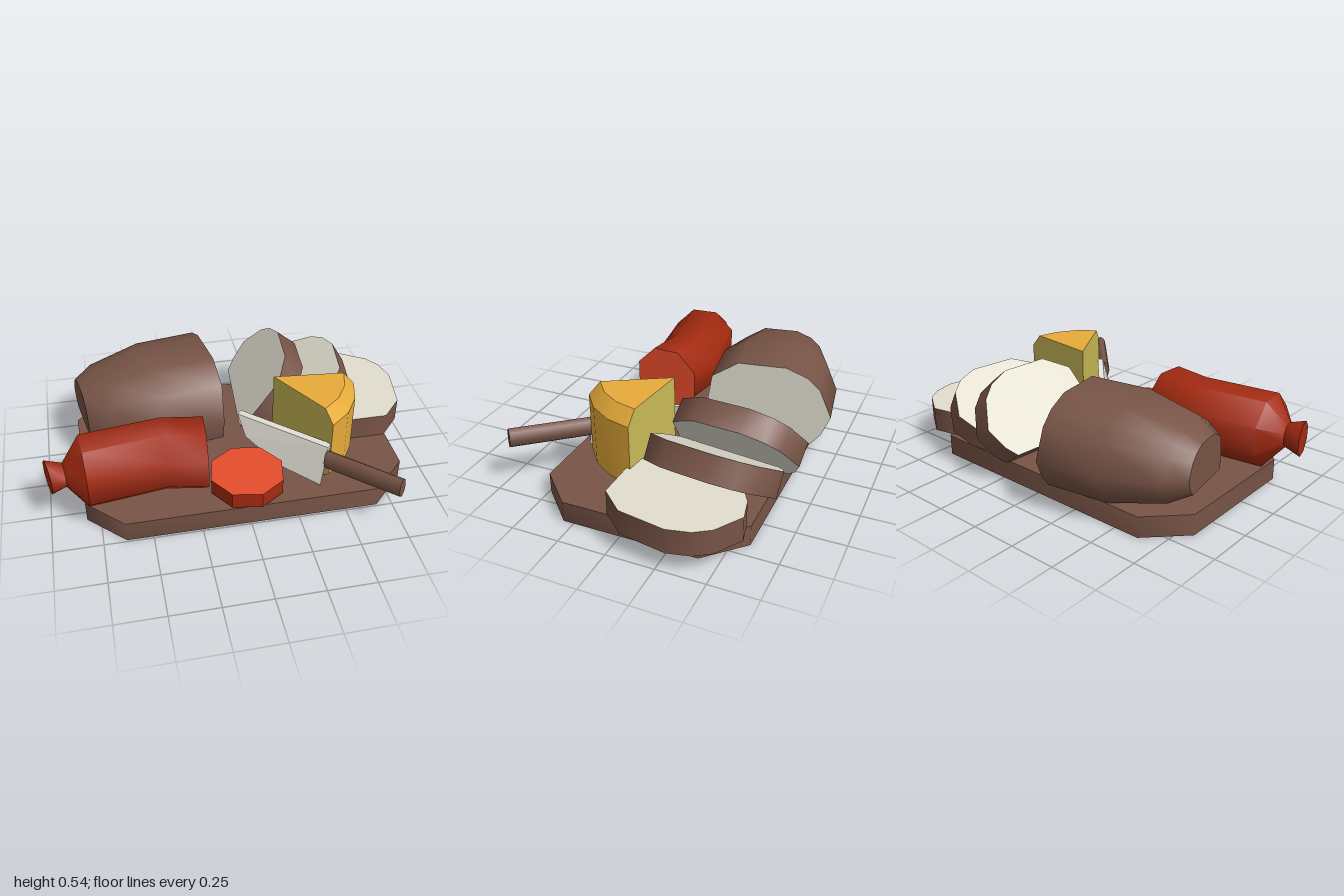
import * as THREE from 'three';
import { toCreasedNormals } from 'three/addons/utils/BufferGeometryUtils.js';
import { ConvexGeometry } from 'three/addons/geometries/ConvexGeometry.js';

const mat = (name, color, side = THREE.FrontSide) => {
  const m = new THREE.MeshStandardMaterial({ color, side });
  m.name = name;
  return m;
};

// Skins rings of [x, y, z] running towards +x; groups: 0 side, 1 left cap, 2 right cap
function loft(rings, crease = 0.9) {
  const n = rings[0].length, last = (rings.length - 1) * n, idx = [];
  for (let i = 0; i < rings.length - 1; i++)
    for (let j = 0; j < n; j++) {
      const k = (j + 1) % n, a = i * n + j, b = i * n + k, d = a + n, c = b + n;
      idx.push(a, d, b, b, d, c);
    }
  const sideCount = idx.length, capCount = (n - 2) * 3;
  for (let j = 1; j < n - 1; j++) idx.push(0, j, j + 1);
  for (let j = 1; j < n - 1; j++) idx.push(last, last + j + 1, last + j);
  const g = new THREE.BufferGeometry();
  g.setAttribute('position', new THREE.Float32BufferAttribute(rings.flat(2), 3));
  g.setIndex(idx);
  g.addGroup(0, sideCount, 0);
  g.addGroup(sideCount, capCount, 1);
  g.addGroup(sideCount + capCount, capCount, 2);
  return toCreasedNormals(g, crease);
}

// Octagonal ring with flat top, leaning along x by tilt
function octagon(x, y, z, r, tilt = 0) {
  return Array.from({ length: 8 }, (_, i) => {
    const t = (i + 0.5) * Math.PI / 4, dz = r * Math.cos(t);
    return [x + dz * tilt, y + r * Math.sin(t), z + dz];
  });
}

// Bread cross-section as [z, y], lopsided dome on a flat base
const BREAD = [[0.31, 0], [0.335, 0.12], [0.3, 0.34], [0.16, 0.43], [-0.09, 0.43],
  [-0.2, 0.385], [-0.27, 0.32], [-0.335, 0.17], [-0.29, 0.06], [-0.24, 0]];
const breadRing = (x, k = 1) => BREAD.map(([z, y]) => [x, 0.2 + (y - 0.2) * k, z * k]);

export function createModel() {
  const model = new THREE.Group();
  const brown = mat('brown', 0x785447);
  const crumb = mat('crumb', 0xe2dfd0);
  const casing = mat('sausageCasing', 0xa32a10);
  const meat = mat('sausageMeat', 0xf3512f);
  const rind = mat('cheeseRind', 0xe8ac3a, THREE.DoubleSide);
  const cheeseCut = mat('cheeseCut', 0xcbbc58, THREE.DoubleSide);
  const steel = mat('steel', 0xe4e2d8);
  const add = (name, geo, material, parent = model) => {
    const m = new THREE.Mesh(geo, material);
    m.name = name;
    parent.add(m);
    return m;
  };
  const TOP = 0.11;

  // Board with clipped corners
  const [l, r, b, f, c] = [-0.82, 0.855, -0.585, 0.49, 0.185];
  const outline = new THREE.Shape([[l + c, -f], [r - c, -f], [r, -f + c], [r, -b - c],
    [r - c, -b], [l + c, -b], [l, -b - c], [l, -f + c]].map(p => new THREE.Vector2(...p)));
  const boardGeo = new THREE.ExtrudeGeometry(outline, { depth: TOP, bevelEnabled: false });
  boardGeo.rotateX(-Math.PI / 2);
  add('board', toCreasedNormals(boardGeo, 0.9), brown);

  // Half loaf with rounded end
  const loaf = add('loaf', loft([breadRing(-0.71, 0.52), breadRing(-0.61, 0.75),
    breadRing(-0.33), breadRing(0)]), [brown, brown, crumb]);
  loaf.position.set(-0.085, TOP, -0.395);
  loaf.rotation.y = 0.163;

  // Three slices falling flat one after the other: x, z, lean above board, yaw
  const sliceGeo = loft([breadRing(-0.13), breadRing(0)]);
  [[0.18, -0.37, 0.9, -0.08], [0.355, -0.345, 0.54, -0.13], [0.563, -0.286, 0, -0.165]]
    .forEach(([x, z, lean, yaw], i) => {
      const s = add('breadSlice' + (i + 1), sliceGeo, [brown, crumb, crumb]);
      s.position.set(x, TOP, z);
      s.rotation.set(0, yaw, lean - Math.PI / 2, 'YXZ');
    });

  // Bent sausage with tied end, and one slice cut from it
  add('sausage', loft([octagon(-0.98, 0.29, 0.275, 0.09, -0.24 * -1),
    octagon(-0.9, 0.29, 0.27, 0.063, 0.15), octagon(-0.805, 0.29, 0.262, 0.19, 0.08),
    octagon(-0.4, 0.29, 0.205, 0.19), octagon(-0.19, 0.29, 0.24, 0.19, -0.057)]),
  [casing, casing, meat]);
  const disc = add('sausageSlice', new THREE.CylinderGeometry(0.197, 0.197, 0.085, 8).toNonIndexed(),
    [casing, meat, meat]);
  disc.geometry.computeVertexNormals();
  disc.position.set(0.01, 0.165, 0.325);
  disc.rotation.y = 0.2;

  // Cheese wedge: turned rind plus two cut faces
  const cheese = new THREE.Group();
  cheese.name = 'cheese';
  cheese.position.set(0.22, 0, 0);
  model.add(cheese);
  const profile = [[0, TOP], [0.38, TOP], [0.43, 0.15], [0.43, 0.47], [0.37, 0.54], [0, 0.54]]
    .map(p => new THREE.Vector2(...p));
  const from = 0.1, to = 1.05;
  add('cheeseRind', toCreasedNormals(
    new THREE.LatheGeometry(profile, 3, Math.PI / 2 - to, to - from), 0.6), rind, cheese);
  for (const angle of [from, to])
    add('cheeseCutFace', new THREE.ShapeGeometry(new THREE.Shape(profile)), cheeseCut, cheese)
      .rotation.y = -angle;

  // Knife leaning on the cheese: thick spine, thin cutting edge
  const knife = new THREE.Group();
  knife.name = 'knife';
  model.add(knife);
  const across = new THREE.Vector3(0.011, 0.003, -0.011);
  const bladePoints = [[0.06, 0.21, 0.055], [0.2, 0.14, 0.24], [0.375, 0.13, 0.425]]
    .map(p => new THREE.Vector3(...p));
  for (const p of [[0.045, 0.31, -0.035], [0.425, 0.343, 0.375]]) {
    const v = new THREE.Vector3(...p);
    bladePoints.push(v.clone().add(across), v.clone().sub(across));
  }
  add('blade', new ConvexGeometry(bladePoints), steel, knife);

  const start = new THREE.Vector3(0.41, 0.27, 0.39), end = new THREE.Vector3(0.7, 0.287, 0.69);
  const handleGeo = new THREE.CylinderGeometry(1, 1, start.distanceTo(end), 8);
  handleGeo.scale(0.034, 1, 0.054);
  handleGeo.rotateX(Math.PI / 2);
  const handle = add('handle', handleGeo, brown, knife);
  handle.position.copy(start).lerp(end, 0.5);
  handle.lookAt(end);

  return model;
}
